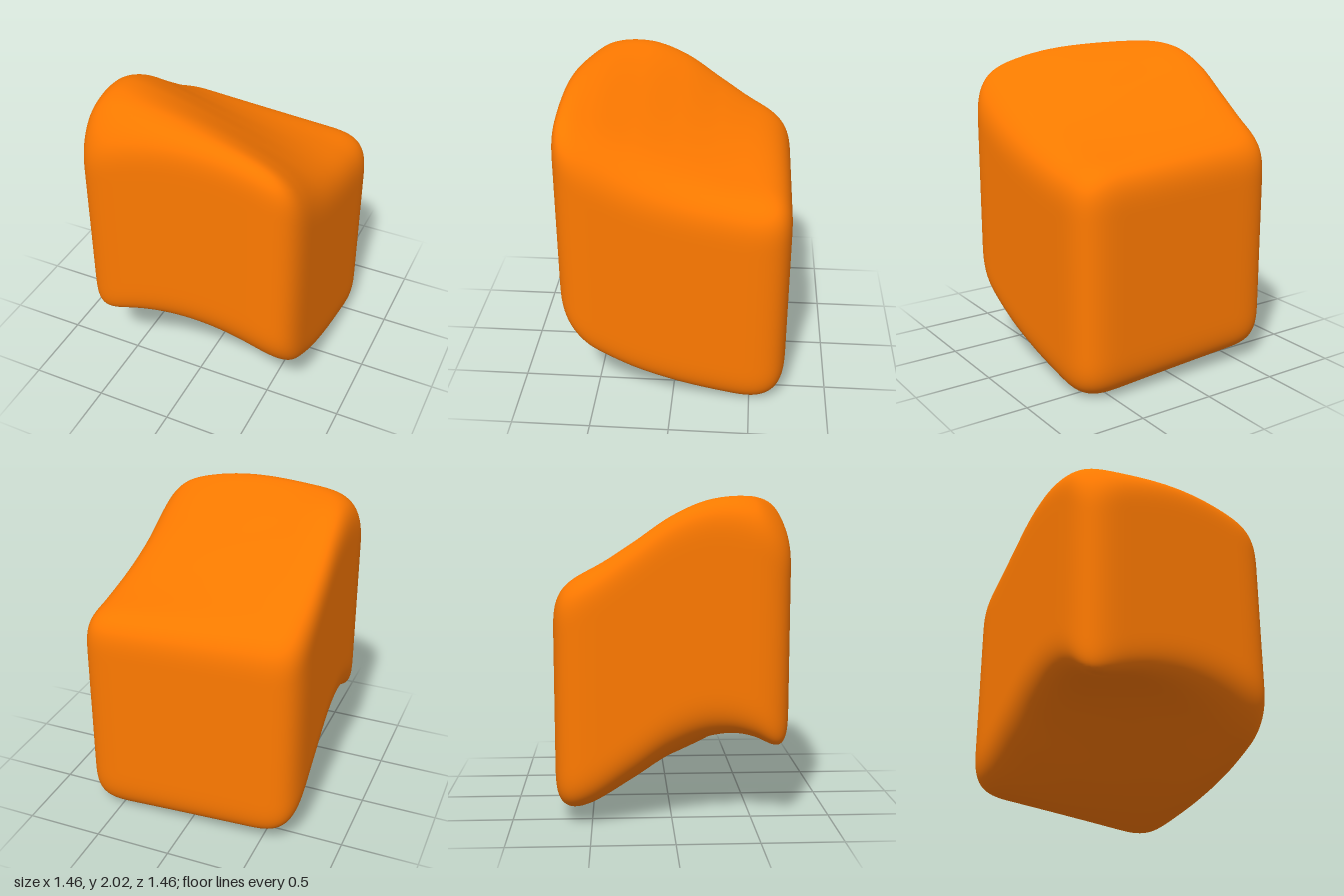
import * as THREE from 'three';
import { mergeVertices } from 'three/addons/utils/BufferGeometryUtils.js';

const HALF = new THREE.Vector3(0.73, 0.735, 0.73);
const RADIUS = 0.35, POWER = 3.7, SEGMENTS = 60;

// Height offsets from back (z = -0.75) to front (z = 0.75) at three stations across x
const profiles = [
  [0.03, 0.12, 0.28, 0.45, 0.545, 0.525, 0.36],   // x = -0.6
  [0.01, 0.05, 0.14, 0.27, 0.41, 0.52, 0.56],     // x = 0
  [-0.015, -0.015, 0.03, 0.10, 0.20, 0.335, 0.48],  // x = 0.6
].map((heights) => new THREE.SplineCurve(heights.map((h, i) => new THREE.Vector2(-0.75 + i * 0.25, h))));

// Smooth vertical offset: spline along z, parabola across x
function lift(x, z) {
  const [a, b, c] = profiles.map((curve) => curve.getPoint((z + 0.75) / 1.5).y);
  const t = x / 0.6;
  return b + (c - a) * t / 2 + (a + c - 2 * b) * t * t / 2;
}

// Evenly divided box with squarish (superelliptic) rounding, sheared upward by the lift
function wavyBlockGeometry() {
  const box = new THREE.BoxGeometry(2 * HALF.x, 2 * HALF.y, 2 * HALF.z, SEGMENTS, SEGMENTS, SEGMENTS);
  box.deleteAttribute('uv');
  box.deleteAttribute('normal');
  const geometry = mergeVertices(box);
  const pos = geometry.attributes.position;
  const inner = HALF.clone().subScalar(RADIUS);
  const outer = inner.clone().negate();
  const p = new THREE.Vector3(), core = new THREE.Vector3();
  for (let i = 0; i < pos.count; i++) {
    p.fromBufferAttribute(pos, i);
    core.copy(p).clamp(outer, inner);
    p.sub(core);
    const norm = p.toArray().reduce((sum, v) => sum + Math.abs(v) ** POWER, 0) ** (1 / POWER);
    p.multiplyScalar(RADIUS / norm).add(core);
    pos.setXYZ(i, p.x, p.y + lift(p.x, p.z), p.z);
  }
  // Stand on the ground
  geometry.computeBoundingBox();
  geometry.translate(0, -geometry.boundingBox.min.y, 0);
  geometry.computeVertexNormals();
  return geometry;
}

export function createModel() {
  const group = new THREE.Group();
  group.name = 'wavyBlock';
  const block = new THREE.Mesh(wavyBlockGeometry(), new THREE.MeshStandardMaterial({ color: 0xff7a00 }));
  block.name = 'roundedBlock';
  group.add(block);
  return group;
}
